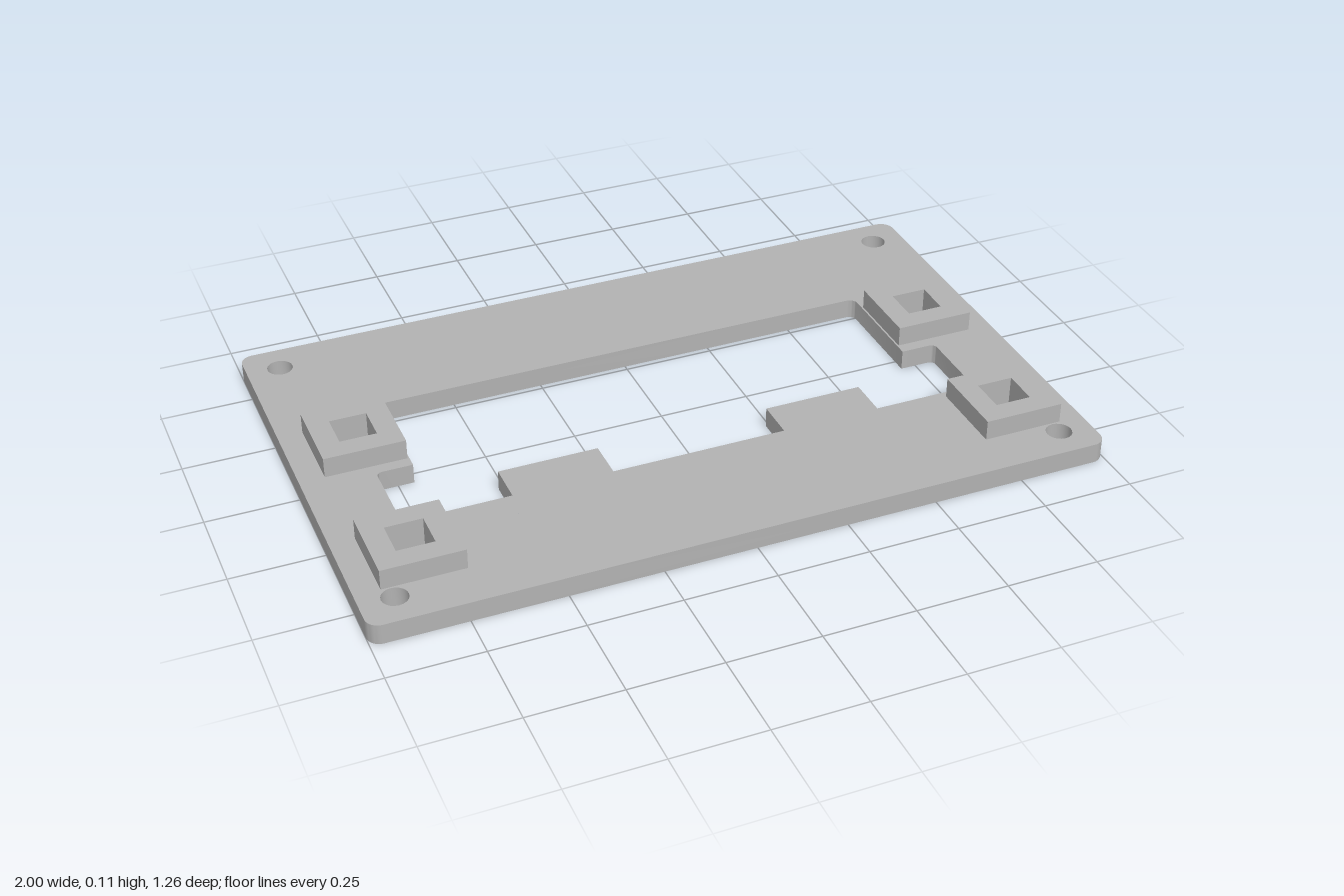
import * as THREE from 'three';
import { toCreasedNormals } from 'three/addons/utils/BufferGeometryUtils.js';

const THICK = 0.056;
const grey = new THREE.MeshStandardMaterial({ color: 0xb2b2b2 });
grey.name = 'grey';

// Closed outline through [x, z, cornerRadius] points; radius 0 keeps the corner sharp
function outline(points, path) {
  const n = points.length;
  points.forEach(([x, z, r = 0], i) => {
    const p = new THREE.Vector2(x, z);
    const toward = (q) => new THREE.Vector2(q[0], q[1]).sub(p).setLength(r).add(p);
    const a = toward(points[(i + n - 1) % n]);
    const b = toward(points[(i + 1) % n]);
    if (i === 0) path.moveTo(a.x, a.y);
    else path.lineTo(a.x, a.y);
    if (r > 0) {
      // cubic handles approximating a quarter circle
      const c1 = a.clone().lerp(p, 0.5523), c2 = b.clone().lerp(p, 0.5523);
      path.bezierCurveTo(c1.x, c1.y, c2.x, c2.y, b.x, b.y);
    }
  });
  path.closePath();
  return path;
}

const rect = (cx, cz, hx, hz, r, path) => outline([
  [cx - hx, cz - hz, r], [cx + hx, cz - hz, r],
  [cx + hx, cz + hz, r], [cx - hx, cz + hz, r],
], path);

// Extrude an (x, z) shape downward from height top
function slab(shape, top, name) {
  const geo = new THREE.ExtrudeGeometry(shape, { depth: THICK, bevelEnabled: false, curveSegments: 10 });
  geo.rotateX(Math.PI / 2).translate(0, top, 0);
  const mesh = new THREE.Mesh(toCreasedNormals(geo, 0.6), grey);
  mesh.name = name;
  return mesh;
}

export function createModel() {
  const group = new THREE.Group();
  group.name = 'mountingPlate';

  // Plate with rounded corners
  const plate = rect(0, 0, 1, 0.63, 0.036, new THREE.Shape());

  // Central opening: narrow rear, wide front, two tabs reaching in from the front edge
  const half = [
    [0.707, -0.265, 0.022], [0.707, 0.038], [0.806, 0.038, 0.016], [0.806, 0.262, 0.016],
    [0.515, 0.262], [0.515, 0.15], [0.241, 0.15], [0.241, 0.262],
  ];
  const mirrored = half.map(([x, z, r]) => [-x, z, r]).reverse();
  plate.holes.push(outline([...half, ...mirrored], new THREE.Path()));

  for (const side of [-1, 1]) {
    // Round screw holes in the corners
    for (const z of [-0.54, 0.54]) {
      const hole = new THREE.Path();
      hole.absarc(side * 0.908, z, 0.035, 0, Math.PI * 2, false);
      plate.holes.push(hole);
    }
    // Raised square bosses, with a square hole passing through boss and plate
    for (const z of [-0.105, 0.391]) {
      const x = side * 0.822;
      const socket = () => rect(x, z, 0.05, 0.05, 0, new THREE.Path());
      plate.holes.push(socket());
      const boss = rect(x, z, 0.11, 0.11, 0, new THREE.Shape());
      boss.holes.push(socket());
      const end = z < 0 ? 'rear' : 'front';
      group.add(slab(boss, THICK * 2, end + (side > 0 ? 'Left' : 'Right') + 'Boss'));
    }
  }

  group.add(slab(plate, THICK, 'plate'));
  return group;
}
